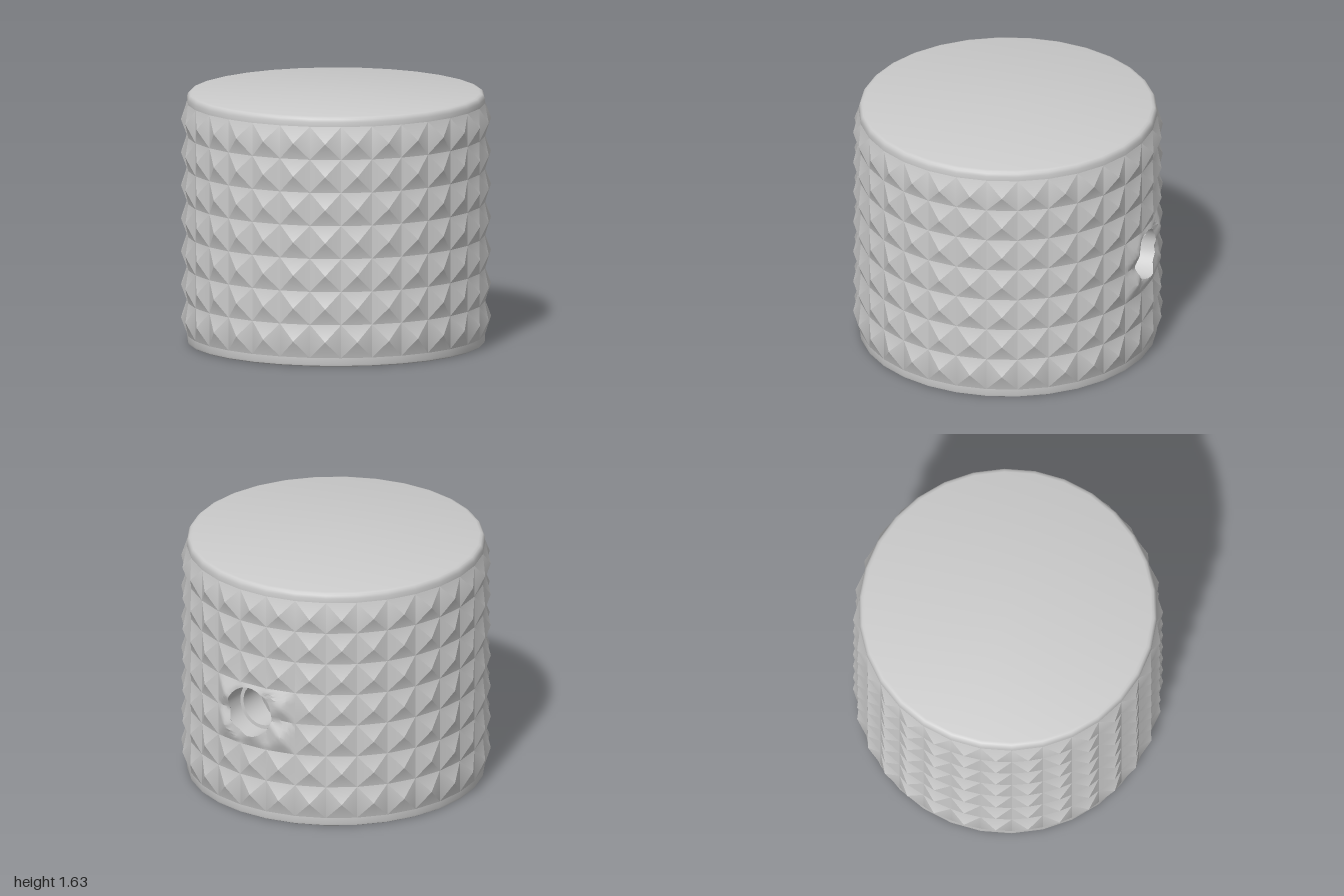
import * as THREE from 'three';
import { mergeVertices, toCreasedNormals } from 'three/addons/utils/BufferGeometryUtils.js';

const COLS = 30, STEP = Math.PI * 2 / COLS, PHASE = THREE.MathUtils.degToRad(-1.5);
const Y0 = 0.057, PITCH = 0.2155, HEIGHT = 1.63;
const HOLE_Y = 0.73, HOLE_ROWS = [2, 3], SIDES = 48;
const material = new THREE.MeshStandardMaterial({ color: 0xcccccc });

// angle a runs from the back (-z) towards +x
const polar = (r, a, y) => [r * Math.sin(a), y, -r * Math.cos(a)];

// Point on a wall covered with four-sided pyramids
function knurlPoint(wall, a, y) {
  const col = Math.round((a - PHASE) / STEP), row = Math.floor((y - Y0) / PITCH);
  const da = a - PHASE - col * STEP;
  const u = Math.abs(da) / (STEP / 2), v = Math.abs((y - Y0) / PITCH - row - 0.5) * 2;
  const flat = wall.valley * Math.cos(STEP / 2);
  const r = flat / Math.cos(da) + (wall.peak - flat) * Math.max(0, 1 - Math.max(u, v));
  return polar(r, a, y);
}

// Point of the screw hole's edge where it meets a wall
function holePoint(wall, t) {
  const a = Math.asin(wall.hole * Math.cos(t) / wall.valley);
  return [a, HOLE_Y + wall.hole * Math.sin(t)];
}

function meshOf(name, triangles, crease) {
  let g = new THREE.BufferGeometry();
  g.setAttribute('position', new THREE.Float32BufferAttribute(triangles.flat(), 3));
  g = toCreasedNormals(mergeVertices(g, 1e-4), crease);
  const mesh = new THREE.Mesh(g, material);
  mesh.name = name;
  return mesh;
}

// Knurled cylinder wall with a round hole at the back
function knurledWall(name, wall) {
  const tris = [];
  const tri = (a, b, c) => wall.inward ? tris.push(a, b, c) : tris.push(a, c, b);
  for (let c = 0; c < COLS; c++) {
    const col = c - 1;
    for (let row = 0; row < wall.rows; row++) {
      if (Math.abs(col) <= 1 && HOLE_ROWS.includes(row)) continue;
      const mid = PHASE + col * STEP, y = Y0 + row * PITCH;
      const corners = [[-1, 0], [1, 0], [1, 1], [-1, 1]].map(
        ([s, k]) => polar(wall.valley, mid + s * STEP / 2, y + k * PITCH));
      const tip = polar(wall.peak, mid, y + PITCH / 2);
      for (let i = 0; i < 4; i++) tri(corners[i], corners[(i + 1) % 4], tip);
    }
  }
  // Patch between the round hole and the surrounding cells
  const a0 = PHASE - 1.5 * STEP, a1 = PHASE + 1.5 * STEP;
  const y0 = Y0 + HOLE_ROWS[0] * PITCH, y1 = y0 + 2 * PITCH;
  const box = [[a0, y0], [a1, y0], [a1, y1], [a0, y1]];
  const grid = [];
  const per = 12, rings = 6;
  for (let s = 0; s < 4; s++) for (let i = 0; i < per; i++) {
    const [p, q] = [box[s], box[(s + 1) % 4]], k = i / per;
    const edge = [p[0] + (q[0] - p[0]) * k, p[1] + (q[1] - p[1]) * k];
    const t = Math.atan2(edge[1] - HOLE_Y, Math.sin(edge[0]) * wall.valley);
    const inner = holePoint(wall, t);
    grid.push(Array.from({ length: rings + 1 }, (_, j) => {
      const f = j / rings;
      const a = inner[0] + (edge[0] - inner[0]) * f, y = inner[1] + (edge[1] - inner[1]) * f;
      // rim of the patch stays on the valley lines
      return j === rings
        ? polar(wall.valley * Math.cos(STEP / 2) / Math.cos(a - PHASE - Math.round((a - PHASE) / STEP) * STEP), a, y)
        : knurlPoint(wall, a, y);
    }));
  }
  grid.forEach((ray, i) => {
    const next = grid[(i + 1) % grid.length];
    for (let j = 0; j < rings; j++) {
      tri(ray[j], ray[j + 1], next[j + 1]);
      tri(ray[j], next[j + 1], next[j]);
    }
  });
  return meshOf(name, tris, Math.PI / 6);
}

// Stepped radial hole joining the outer wall to the bore
function screwHole(outer, bore) {
  const ring = (t, r, z) => [r * Math.cos(t), HOLE_Y + r * Math.sin(t), z];
  const loops = Array.from({ length: SIDES }, (_, i) => {
    const t = i / SIDES * Math.PI * 2;
    return [
      knurlPoint(outer, ...holePoint(outer, t)),
      ring(t, outer.hole, -0.83),
      ring(t, bore.hole, -0.83),
      knurlPoint(bore, ...holePoint(bore, t)),
    ];
  });
  const tris = [];
  loops.forEach((p, i) => {
    const q = loops[(i + 1) % SIDES];
    for (let j = 0; j < 3; j++) tris.push(p[j], q[j + 1], p[j + 1], p[j], q[j], q[j + 1]);
  });
  const mesh = meshOf('screwHole', tris, Math.PI / 5);
  mesh.material = material.clone();
  mesh.material.side = THREE.DoubleSide;
  return mesh;
}

// Plain turned part, its facets lined up with the knurl valleys
function turned(name, points) {
  const start = Math.PI - PHASE - STEP / 2;
  const g = new THREE.LatheGeometry(points.map(p => new THREE.Vector2(...p)), COLS, start);
  const mesh = new THREE.Mesh(toCreasedNormals(g, Math.PI / 5), material);
  mesh.name = name;
  return mesh;
}

export function createModel() {
  const outer = { valley: 0.96, peak: 0.998, rows: 7, hole: 0.165, inward: false };
  const bore = { valley: 0.66, peak: 0.645, rows: 6, hole: 0.14, inward: true };
  const yTop = Y0 + outer.rows * PITCH, yBore = Y0 + bore.rows * PITCH;

  const knob = new THREE.Group();
  knob.name = 'knurledKnob';
  knob.add(
    knurledWall('gripWall', outer),
    knurledWall('boreWall', bore),
    screwHole(outer, bore),
    // Rounded top cap
    turned('topCap', [[0.96, yTop], [0.96, 1.595], [0.954, 1.614], [0.944, 1.625], [0.927, HEIGHT], [0, HEIGHT]]),
    // Ring around the bore opening
    turned('bottomRing', [[0.66, Y0], [0.66, 0], [0.947, 0], [0.957, 0.006], [0.96, 0.018], [0.96, Y0]]),
    turned('boreCeiling', [[0, yBore], [0.66, yBore]]),
  );
  return knob;
}
